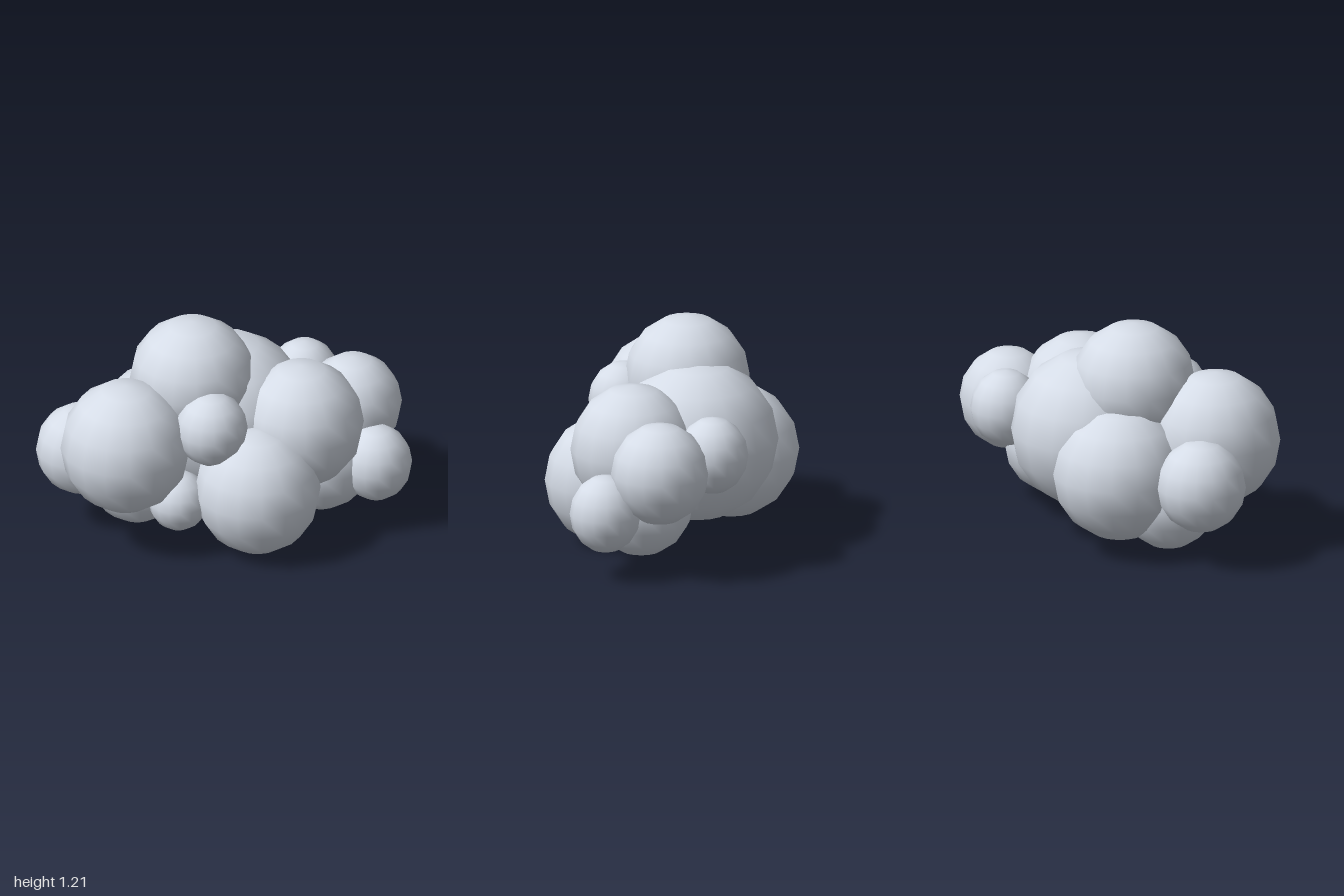
import * as THREE from 'three';

// Puffs: name, centre x, y, z, horizontal radius, vertical radius
const PUFFS = [
  ['topPuff', -0.165, 0.875, -0.05, 0.335, 0.335],
  ['leftFrontPuff', -0.54, 0.612, 0.21, 0.348, 0.367],
  ['centreFrontPuff', 0.16, 0.357, 0.28, 0.337, 0.353],
  ['rightFrontPuff', 0.41, 0.62, 0.045, 0.335, 0.352],
  ['smallUpperFrontPuff', -0.085, 0.735, 0.275, 0.193, 0.205],
  ['smallLowerFrontPuff', -0.26, 0.29, 0.25, 0.16, 0.165],
  ['lowerLeftPuff', -0.46, 0.3, -0.045, 0.265, 0.27],
  ['farLeftPuff', -0.76, 0.455, -0.06, 0.24, 0.25],
  ['farRightPuff', 0.705, 0.59, -0.215, 0.262, 0.275],
  ['smallRightPuff', 0.81, 0.37, 0.055, 0.192, 0.211],
  ['lowerRightPuff', 0.52, 0.36, -0.04, 0.28, 0.285],
  ['backPuff', 0.035, 0.59, -0.18, 0.435, 0.435],
  ['backLeftPuff', -0.3, 0.45, -0.25, 0.365, 0.365],
  ['smallBackPuff', 0.46, 0.645, -0.425, 0.19, 0.208],
];

export function createModel() {
  const cloud = new THREE.Group();
  cloud.name = 'cloud';
  const material = new THREE.MeshStandardMaterial({ color: 0xd8dfea });
  material.name = 'pale grey';

  // One smooth, coarse sphere shared by every puff
  const sphere = new THREE.SphereGeometry(1, 16, 8);
  for (const [name, x, y, z, r, h] of PUFFS) {
    const puff = new THREE.Mesh(sphere, material);
    puff.name = name;
    puff.position.set(x, y, z);
    puff.scale.set(r, h, r);
    cloud.add(puff);
  }
  return cloud;
}
